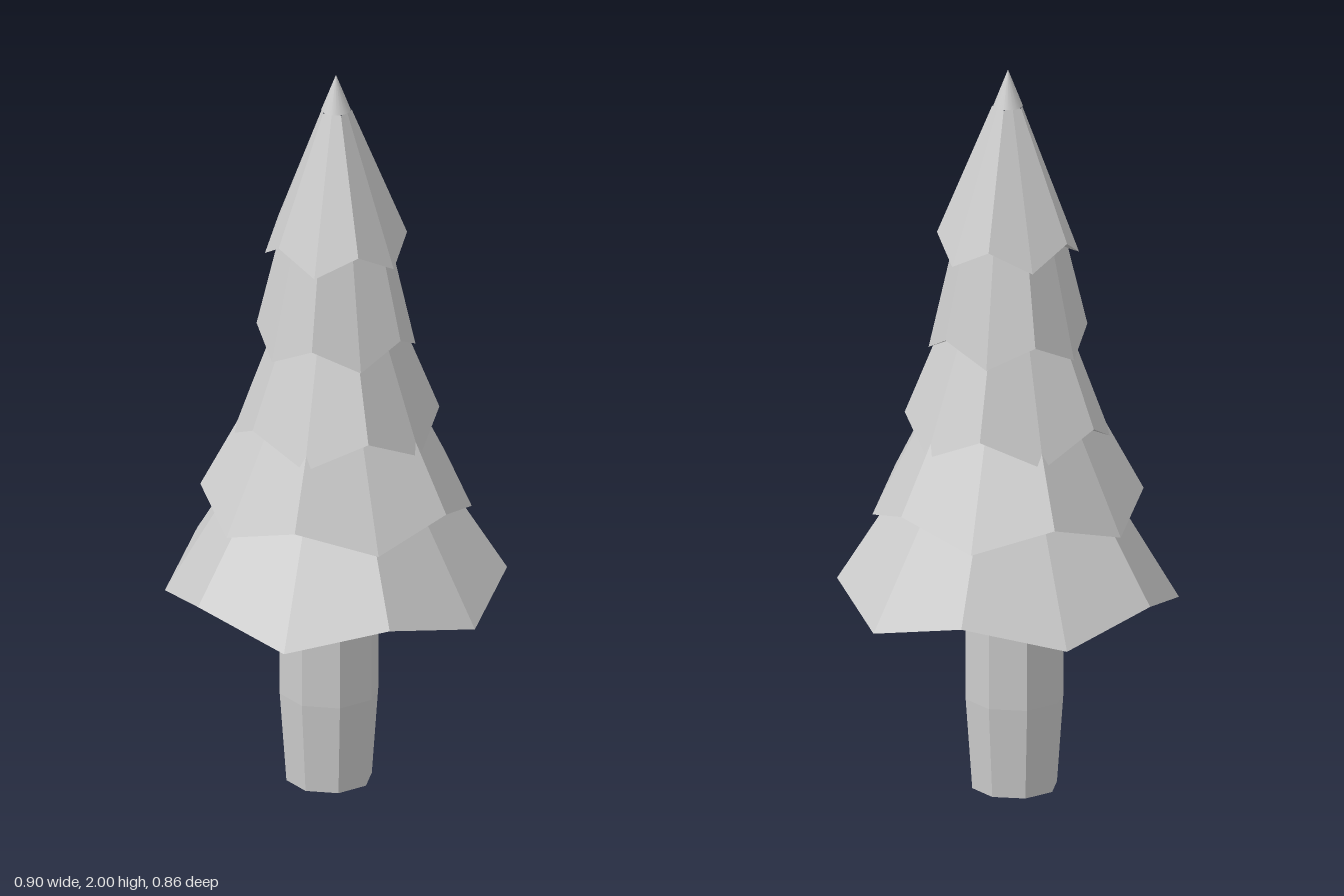
import * as THREE from 'three';

const SIDES = 10;
const TURN = THREE.MathUtils.degToRad(-1.4);

// Zigzag-rimmed cone whose edges run towards a virtual apex, cut off at height top
function tierGeometry({ radius, even, odd, apex, top }) {
  const rim = [], crown = [];
  for (let k = 0; k < SIDES; k++) {
    const a = TURN + (k * Math.PI * 2) / SIDES;
    const y = k % 2 ? odd : even;
    const r = radius * (apex - top) / (apex - y);
    rim.push(new THREE.Vector3(radius * Math.cos(a), y, radius * Math.sin(a)));
    crown.push(new THREE.Vector3(r * Math.cos(a), top, r * Math.sin(a)));
  }
  const under = new THREE.Vector3(0, (even + odd) / 2 + 0.035, 0);
  const points = [];
  for (let k = 0; k < SIDES; k++) {
    const n = (k + 1) % SIDES;
    points.push(rim[n], rim[k], crown[k], rim[n], crown[k], crown[n]); // slope
    points.push(under, rim[k], rim[n]); // underside
  }
  const geometry = new THREE.BufferGeometry().setFromPoints(points);
  geometry.computeVertexNormals();
  return geometry;
}

export function createModel() {
  const tree = new THREE.Group();
  tree.name = 'firTree';
  const flat = new THREE.MeshStandardMaterial({ color: 0xcccccc, flatShading: true });
  const smooth = new THREE.MeshStandardMaterial({ color: 0xcccccc });

  // Eight-sided trunk, slightly off centre and narrowing at the foot
  const profile = [[0, 0], [0.115, 0], [0.133, 0.25], [0.133, 0.45], [0.129, 0.64]]
    .map(([r, y]) => new THREE.Vector2(r, y));
  const trunk = new THREE.Mesh(new THREE.LatheGeometry(profile, 8, Math.PI / 8), flat);
  trunk.name = 'trunk';
  trunk.position.set(-0.027, 0, 0.007);
  tree.add(trunk);

  // Stacked branch tiers, the zigzag flipping from one to the next
  const tiers = [
    { radius: 0.45, even: 0.525, odd: 0.59, apex: 1.29, top: 0.9 },
    { radius: 0.357, even: 0.83, odd: 0.765, apex: 1.49, top: 1.1 },
    { radius: 0.272, even: 0.975, odd: 1.05, apex: 1.72, top: 1.35 },
    { radius: 0.209, even: 1.29, odd: 1.23, apex: 2.16, top: 1.58 },
    { radius: 0.187, even: 1.49, odd: 1.55, apex: 2, top: 1.9 },
  ];
  tiers.forEach((tier, i) => {
    const mesh = new THREE.Mesh(tierGeometry(tier), flat);
    mesh.name = `branchTier${i + 1}`;
    tree.add(mesh);
  });

  // Smooth pointed tip
  const tip = new THREE.Mesh(new THREE.ConeGeometry(0.039, 0.1, 20), smooth);
  tip.name = 'tip';
  tip.position.y = 1.95;
  tree.add(tip);

  return tree;
}
